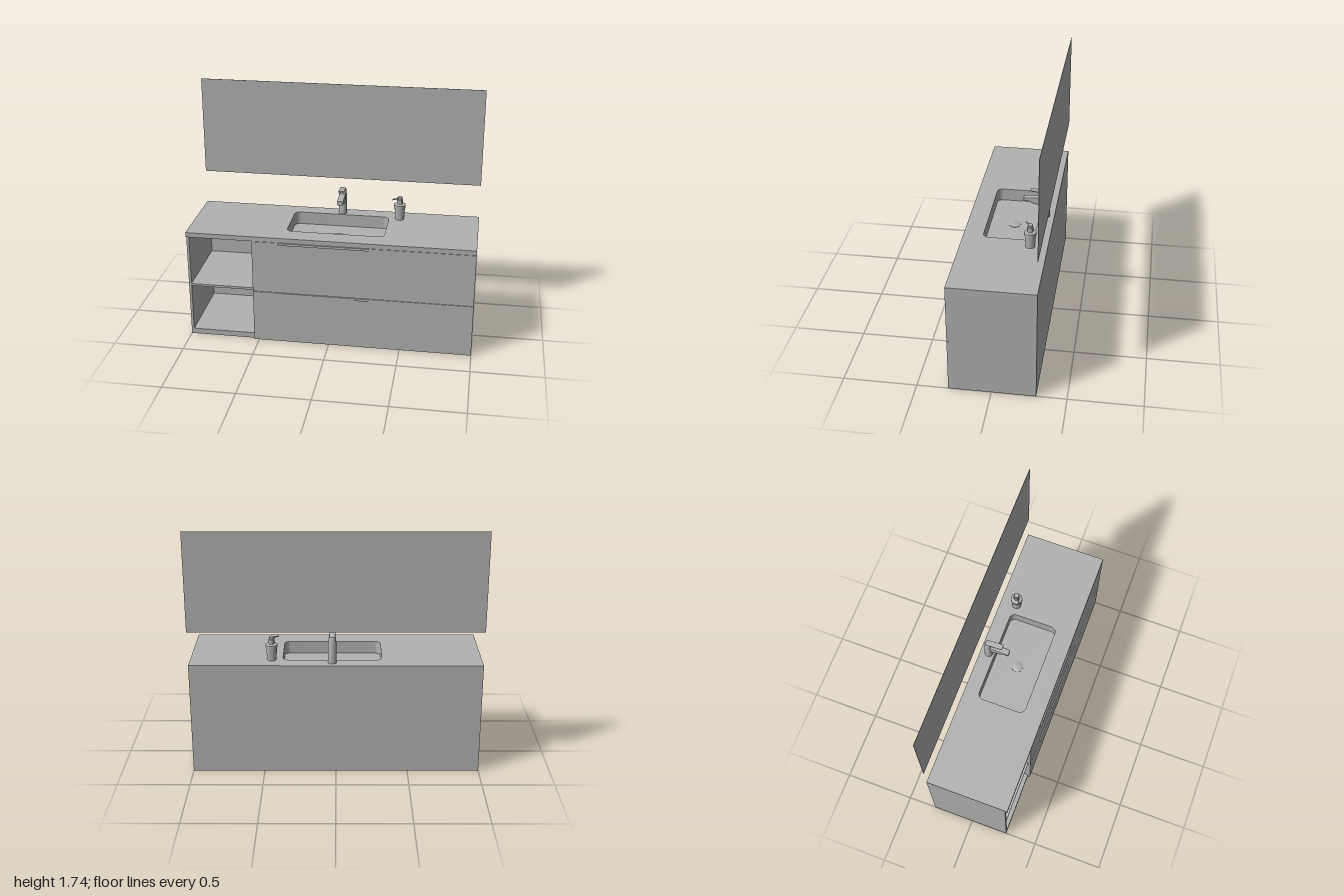
import * as THREE from 'three';
import { toCreasedNormals } from 'three/addons/utils/BufferGeometryUtils.js';

export function createModel() {
  const model = new THREE.Group();
  model.name = 'washbasinCabinet';
  const grey = new THREE.MeshStandardMaterial({ color: 0xb2b2b2 });
  grey.name = 'grey';

  const add = (name, geometry, parent = model) => {
    const mesh = new THREE.Mesh(geometry, grey);
    mesh.name = name;
    parent.add(mesh);
    return mesh;
  };
  const group = (name) => {
    const g = new THREE.Group();
    g.name = name;
    model.add(g);
    return g;
  };
  // Box given by its limits on each axis
  const box = (name, x0, x1, y0, y1, z0, z1, parent) => {
    const mesh = add(name, new THREE.BoxGeometry(x1 - x0, y1 - y0, z1 - z0), parent);
    mesh.position.set((x0 + x1) / 2, (y0 + y1) / 2, (z0 + z1) / 2);
    return mesh;
  };
  // Turned part from [radius, height] pairs, listed upwards
  const lathe = (name, profile, parent) => add(name, toCreasedNormals(
    new THREE.LatheGeometry(profile.map(([r, y]) => new THREE.Vector2(r, y)), 32), 0.6), parent);
  // Rounded rectangle in plan; the path's y is -z
  const roundedPlan = (path, x0, x1, z0, z1, r) => {
    const b = -z1, t = -z0;
    path.moveTo(x0 + r, b);
    path.lineTo(x1 - r, b);
    path.absarc(x1 - r, b + r, r, -Math.PI / 2, 0);
    path.lineTo(x1, t - r);
    path.absarc(x1 - r, t - r, r, 0, Math.PI / 2);
    path.lineTo(x0 + r, t);
    path.absarc(x0 + r, t - r, r, Math.PI / 2, Math.PI);
    path.lineTo(x0, b + r);
    path.absarc(x0 + r, b + r, r, Math.PI, Math.PI * 1.5);
    return path;
  };
  // Plan shape pulled up between two heights
  const slab = (name, shape, y0, y1, parent) => {
    const geo = new THREE.ExtrudeGeometry(shape, { depth: y1 - y0, bevelEnabled: false, curveSegments: 8 });
    geo.rotateX(-Math.PI / 2).translate(0, y0, 0);
    return add(name, toCreasedNormals(geo, 0.6), parent);
  };

  const back = -0.297, front = 0.288, carcassFront = 0.272, under = 0.766, top = 0.8;
  const basinHole = () => roundedPlan(new THREE.Path(), -0.315, 0.365, -0.192, 0.153, 0.04);

  // Countertop with the basin opening
  const counter = new THREE.Shape();
  counter.moveTo(-1, -front);
  counter.lineTo(1, -front);
  counter.lineTo(1, -back);
  counter.lineTo(-1, -back);
  counter.closePath();
  counter.holes.push(basinHole());
  slab('countertop', counter, under, top);

  // Sunken basin: wall, floor and drain cover
  const basin = group('basin');
  const wall = roundedPlan(new THREE.Shape(), -0.325, 0.375, -0.202, 0.163, 0.05);
  wall.holes.push(basinHole());
  slab('basinWall', wall, 0.71, under, basin);
  slab('basinFloor', roundedPlan(new THREE.Shape(), -0.325, 0.375, -0.202, 0.163, 0.05), 0.7, 0.71, basin);
  lathe('drainCover', [[0.04, 0], [0.04, 0.003], [0.036, 0.005], [0, 0.005]], basin)
    .position.set(0.025, 0.71, -0.02);

  // Carcass panels and the open shelf bay
  const carcass = group('carcass');
  box('rightSidePanel', -1, -0.982, 0, under, back, carcassFront, carcass);
  box('leftSidePanel', 0.982, 1, 0, under, back, carcassFront, carcass);
  box('divider', -0.535, -0.517, 0.04, under, back + 0.015, carcassFront, carcass);
  box('backPanel', -0.982, 0.982, 0.04, under, back, back + 0.015, carcass);
  box('bottomPanel', -0.982, 0.982, 0, 0.04, back, carcassFront, carcass);
  box('shelf', -0.982, -0.535, 0.384, 0.4, back + 0.015, carcassFront, carcass);

  // Drawers, each with an angled strip handle along its top edge
  for (const [y0, y1] of [[0, 0.381], [0.384, 0.764]]) {
    const drawer = group('drawer');
    box('drawerFront', -0.535, 1, y0, y1, carcassFront, front, drawer);
    box('handleTop', -0.35, 0.28, y1, y1 + 0.0025, carcassFront, 0.297, drawer);
    box('handleLip', -0.35, 0.28, y1 - 0.014, y1, 0.294, 0.297, drawer);
  }

  // Wall mirror
  box('mirror', -1, 1, 1.04, 1.735, back, back + 0.003);

  // Tap: turned body, tapered spout and flat lever
  const tap = group('tap');
  tap.position.set(0.025, top, -0.235);
  lathe('tapBody', [[0.03, 0], [0.029, 0.14], [0.026, 0.152], [0.025, 0.16],
    [0.025, 0.178], [0.02, 0.187], [0, 0.19]], tap);
  const side = new THREE.Shape();
  side.moveTo(0, 0.09);
  side.lineTo(0.085, 0.103);
  side.lineTo(0.115, 0.121);
  side.lineTo(0.149, 0.121);
  side.lineTo(0.149, 0.14);
  side.lineTo(0, 0.149);
  side.closePath();
  const spout = new THREE.ExtrudeGeometry(side, {
    depth: 0.03, bevelThickness: 0.007, bevelSize: 0.005, bevelSegments: 3,
  });
  spout.rotateY(-Math.PI / 2).translate(0.015, 0, 0);
  add('spout', toCreasedNormals(spout, 0.6), tap);
  const lever = box('lever', -0.02, 0.02, 0.189, 0.195, -0.015, 0.107, tap);
  lever.rotation.x = -0.11;

  // Soap dispenser: tapered cup, collar, pump and nozzle
  const soap = group('soapDispenser');
  soap.position.set(0.44, top, -0.18);
  lathe('cup', [[0, 0], [0.032, 0], [0.037, 0.09], [0.041, 0.09], [0.041, 0.11],
    [0.037, 0.113], [0.018, 0.114], [0.018, 0.124], [0, 0.124]], soap);
  lathe('pump', [[0, 0.122], [0.021, 0.122], [0.021, 0.148], [0.017, 0.151],
    [0.017, 0.166], [0, 0.168]], soap);
  const nozzle = add('nozzle', new THREE.CylinderGeometry(0.005, 0.005, 0.06, 12), soap);
  nozzle.geometry.rotateZ(Math.PI / 2).translate(-0.03, 0, 0);
  nozzle.position.y = 0.157;
  nozzle.rotation.y = 0.62;

  return model;
}
